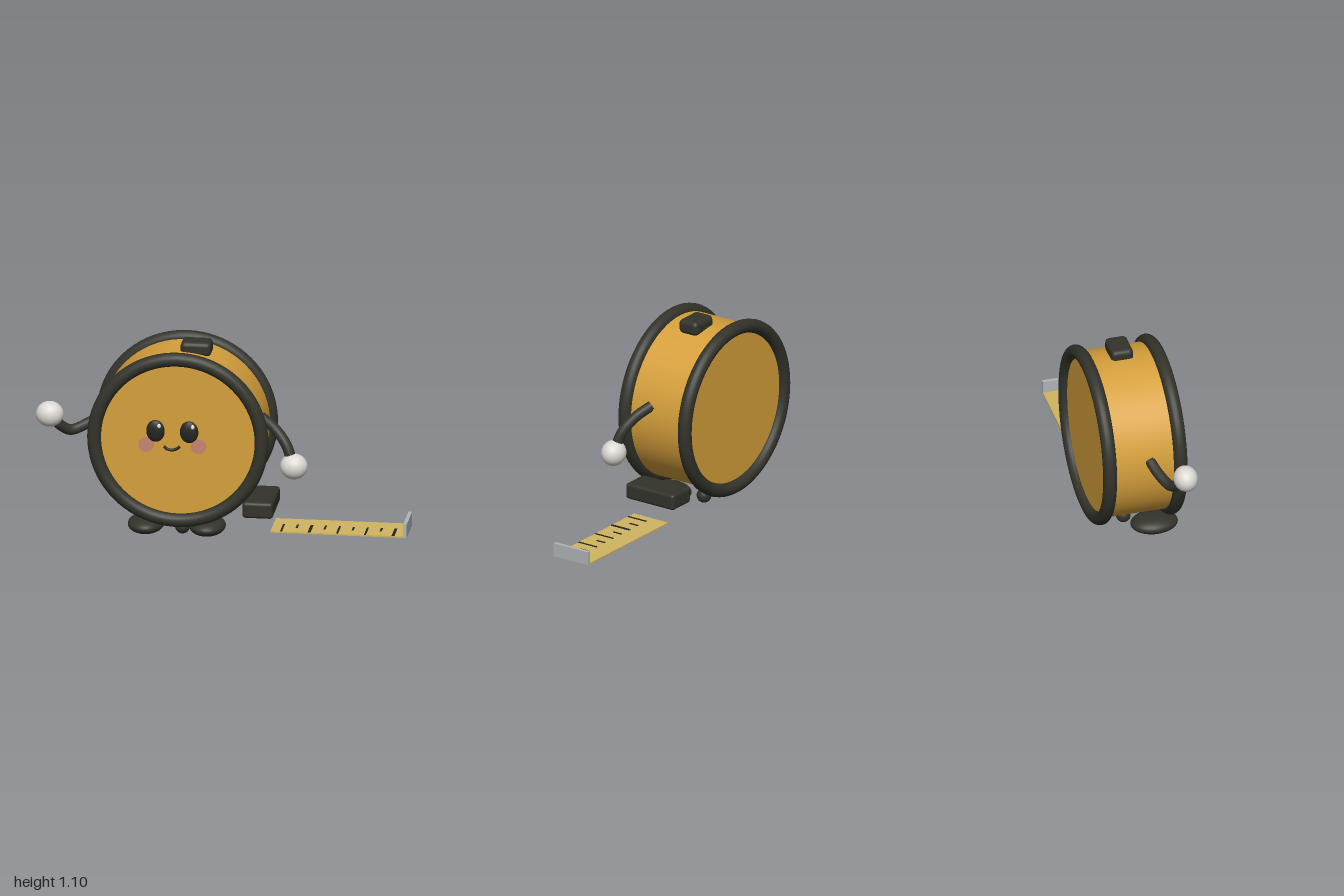
import * as THREE from 'three';
import { RoundedBoxGeometry } from 'three/addons/geometries/RoundedBoxGeometry.js';

const mat = (name, color, side = THREE.FrontSide) => {
  const m = new THREE.MeshStandardMaterial({ color, side });
  m.name = name;
  return m;
};

export function createModel() {
  const model = new THREE.Group();
  model.name = 'tapeMeasure';
  const amber = mat('amber', 0xd6a03c);
  const rubber = mat('darkRubber', 0x33332b);
  const white = mat('gloveWhite', 0xdcd8d2);
  const tapeYellow = mat('tapeYellow', 0xd0b560);
  const steel = mat('steel', 0xb0b5b7);
  const ink = mat('ink', 0x26261f);
  const pink = mat('blush', 0xca8570);
  const glint = mat('glint', 0xf4f4f0);

  const add = (name, geometry, material, x, y, z, parent = model) => {
    const mesh = new THREE.Mesh(geometry, material);
    mesh.name = name;
    mesh.position.set(x, y, z);
    parent.add(mesh);
    return mesh;
  };
  const ellipsoid = (name, material, x, y, z, rx, ry, rz) =>
    add(name, new THREE.SphereGeometry(1, 32, 24).scale(rx, ry, rz), material, x, y, z);
  const tube = (name, material, points, r) => {
    const curve = new THREE.CatmullRomCurve3(points.map(p => new THREE.Vector3(...p)));
    add(name, new THREE.TubeGeometry(curve, 32, r, 12), material, 0, 0, 0);
  };

  // Round case with a rubber rim on each end
  const CX = -0.227, CY = 0.59, R = 0.453, FRONT = 0.186, BACK = -0.206;
  const drum = new THREE.CylinderGeometry(R, R, FRONT - BACK, 72).rotateX(Math.PI / 2);
  add('case', drum, amber, CX, CY, (FRONT + BACK) / 2);
  for (const [name, z] of [['frontRim', FRONT], ['backRim', BACK]]) {
    add(name, new THREE.TorusGeometry(R, 0.0375, 18, 80), rubber, CX, CY, z);
  }

  // Lock button and tape outlet
  add('lockButton', new RoundedBoxGeometry(0.166, 0.08, 0.122, 4, 0.026), rubber, -0.15, 1.055, -0.01);
  add('tapeOutlet', new RoundedBoxGeometry(0.165, 0.09, 0.318, 4, 0.018), rubber, 0.198, 0.193, -0.01);

  // Extended tape with end hook and graduation marks
  const tape = new THREE.Group();
  tape.name = 'tape';
  model.add(tape);
  add('tapeBlade', new THREE.BoxGeometry(0.727, 0.008, 0.225), tapeYellow, 0.6265, 0.064, -0.01, tape);
  add('endHook', new THREE.BoxGeometry(0.02, 0.075, 0.226), steel, 0.99, 0.0985, -0.01, tape);
  for (let i = 0; i < 9; i++) {
    const length = i % 2 ? 0.055 : 0.12;
    const width = i % 6 === 2 ? 0.015 : 0.01;
    add('tapeMark', new THREE.BoxGeometry(width, 0.004, length), ink,
      0.32 + 0.0757 * i, 0.069, -0.02 + length / 2, tape);
  }

  // Eyes with glints, and cheeks
  for (const s of [-1, 1]) {
    const side = s < 0 ? 'right' : 'left';
    ellipsoid(side + 'Eye', ink, -0.257 + s * 0.091, 0.636, FRONT, 0.05, 0.061, 0.022);
    ellipsoid(side + 'EyeGlint', glint, -0.257 + s * 0.091 + 0.021, 0.669, FRONT + 0.016, 0.01, 0.013, 0.006);
    add(side + 'Cheek', new THREE.CylinderGeometry(0.042, 0.042, 0.004, 32).rotateX(Math.PI / 2),
      pink, -0.257 + s * 0.142, 0.557, FRONT + 0.001);
  }

  // Smile
  tube('mouth', ink, [[-0.303, 0.553, FRONT + 0.004], [-0.285, 0.538, FRONT + 0.004],
    [-0.258, 0.533, FRONT + 0.004], [-0.231, 0.541, FRONT + 0.004], [-0.214, 0.556, FRONT + 0.004]], 0.008);

  // Arms and hands
  tube('leftArm', rubber, [[0.205, 0.688, 0.03], [0.285, 0.638, 0.077],
    [0.35, 0.565, 0.117], [0.39, 0.46, 0.142]], 0.029);
  tube('rightArm', rubber, [[-0.66, 0.662, 0.02], [-0.735, 0.618, 0.05],
    [-0.82, 0.592, 0.09], [-0.88, 0.634, 0.123], [-0.92, 0.69, 0.145]], 0.029);
  ellipsoid('leftHand', white, 0.395, 0.452, 0.142, 0.075, 0.07, 0.066);
  ellipsoid('rightHand', white, -0.925, 0.695, 0.147, 0.075, 0.07, 0.066);

  // Feet and the small support ball
  for (const s of [-1, 1]) {
    ellipsoid(s < 0 ? 'rightFoot' : 'leftFoot', rubber, -0.242 + s * 0.166, 0.09, 0.113, 0.098, 0.048, 0.13);
  }
  ellipsoid('supportBall', rubber, CX, 0.04, -0.008, 0.04, 0.04, 0.04);

  return model;
}
